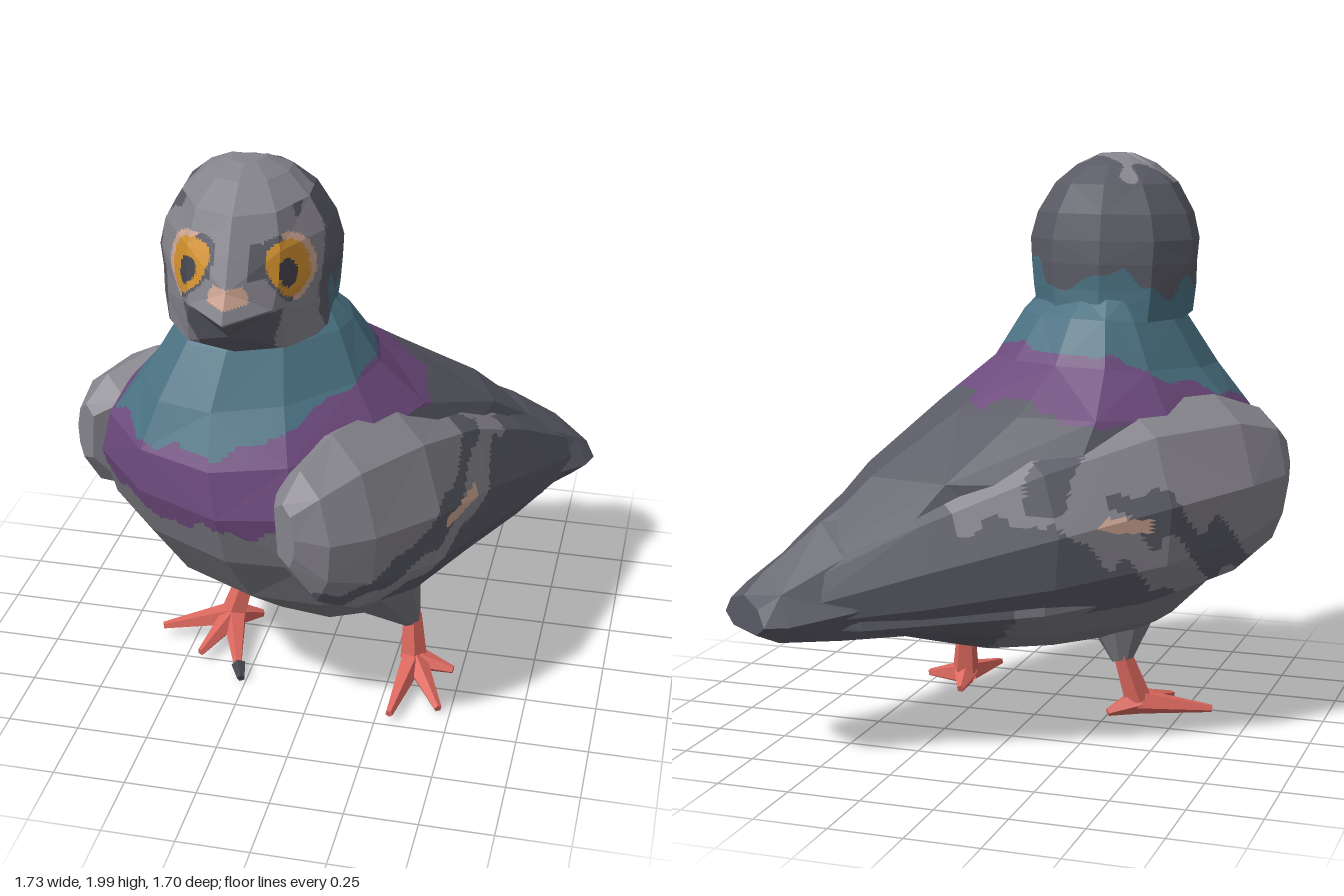
import * as THREE from 'three';

const V = (x, y, z) => new THREE.Vector3(x, y, z);
const mat = (name, color) => Object.assign(new THREE.MeshStandardMaterial({ color, flatShading: true }), { name });
const clamp = THREE.MathUtils.clamp, lerp = THREE.MathUtils.lerp;

// palette indices
const LIGHT = 0, DARK = 1, BELLY = 2, TEAL = 3, PURPLE = 4, ORANGE = 5, PINK = 6, RED = 7, BLACK = 8;

// soft wobble that makes feather-colour borders irregular
const wob = p => 0.022 * Math.sin(19 * p.x + 9 * p.y + 1) + 0.016 * Math.sin(31 * p.z + 17 * p.y)
  + 0.01 * Math.sin(47 * p.x - 29 * p.z);

// Joins rings into a closed faceted skin; each facet is split n x n and coloured by rule(centre)
function skin(name, rings, mats, rule, n = 1) {
  const tris = [], k = rings[0].length;
  for (let i = 0; i + 1 < rings.length; i++) for (let j = 0; j < k; j++) {
    const a = rings[i][j], b = rings[i][(j + 1) % k], c = rings[i + 1][(j + 1) % k], d = rings[i + 1][j];
    if ((i + j) % 2) tris.push([a, b, c], [a, c, d]); else tris.push([a, b, d], [b, c, d]);
  }
  [rings[0], rings[rings.length - 1]].forEach((r, e) => {
    const m = r.reduce((s, p) => s.add(p), V(0, 0, 0)).divideScalar(k);
    for (let j = 0; j < k; j++) {
      const a = r[j], b = r[(j + 1) % k];
      tris.push(e ? [a, b, m] : [b, a, m]);
    }
  });
  const volume = tris.reduce((s, [a, b, c]) => s + a.dot(b.clone().cross(c)), 0);
  const buckets = mats.map(() => []);
  for (const t of tris) {
    const [a, b, c] = volume < 0 ? [t[0], t[2], t[1]] : t;
    const at = (i, j) => a.clone().addScaledVector(b.clone().sub(a), i / n).addScaledVector(c.clone().sub(a), j / n);
    const put = (...ps) => {
      const mid = ps[0].clone().add(ps[1]).add(ps[2]).divideScalar(3);
      for (const p of ps) buckets[rule(mid)].push(p.x, p.y, p.z);
    };
    for (let i = 0; i < n; i++) for (let j = 0; j < n - i; j++) {
      put(at(i, j), at(i + 1, j), at(i, j + 1));
      if (i + j < n - 1) put(at(i + 1, j), at(i + 1, j + 1), at(i, j + 1));
    }
  }
  const geo = new THREE.BufferGeometry(), used = [];
  let start = 0;
  buckets.forEach((b, i) => {
    if (!b.length) return;
    geo.addGroup(start, b.length / 3, used.length);
    used.push(mats[i]);
    start += b.length / 3;
  });
  geo.setAttribute('position', new THREE.Float32BufferAttribute(buckets.flat(), 3));
  geo.computeVertexNormals();
  const mesh = new THREE.Mesh(geo, used);
  mesh.name = name;
  return mesh;
}

// Tilted slice: front and back depth/height, half width, squareness front and back
function slice(k, mid, [fz, fy, bz, by, hw, nf = 2, nb = 2]) {
  return Array.from({ length: k }, (_, j) => {
    const a = j / k * Math.PI * 2, s = Math.sin(a), c = Math.cos(a);
    const e = 2 / (c > 0 ? nf : nb);
    const z = mid + (c > 0 ? fz - mid : bz - mid) * Math.abs(c) ** e;
    return V(Math.sign(s) * Math.abs(s) ** e * hw, lerp(by, fy, (z - bz) / (fz - bz)), z);
  });
}

// Tapered limb between two points
function limb(name, a, b, ra, rb, material, sides = 5) {
  const mesh = new THREE.Mesh(new THREE.CylinderGeometry(rb, ra, a.distanceTo(b), sides), material);
  mesh.position.copy(a).lerp(b, 0.5);
  mesh.quaternion.setFromUnitVectors(V(0, 1, 0), b.clone().sub(a).normalize());
  mesh.name = name;
  return mesh;
}

export function createModel() {
  const mats = [
    mat('light grey feathers', 0x85838b), mat('dark grey feathers', 0x5a5a65), mat('belly grey', 0x76757c),
    mat('teal neck', 0x4a7182), mat('purple breast', 0x6d4a7d), mat('orange eye', 0xd0902f),
    mat('pale pink', 0xcda593), mat('red legs', 0xdc685e), mat('pupil and claw', 0x45454e)];
  const model = new THREE.Group();
  model.name = 'pigeon';

  // trunk, wings and tail sit at an angle to the head
  const trunk = new THREE.Group();
  trunk.name = 'trunk';
  trunk.rotation.y = -0.6435;
  model.add(trunk);
  const bend = p => { p.x += 0.14 * clamp((-p.z - 0.2) / 0.85, 0, 1); return p; };

  // torso from belly to neck
  const torso = [
    [0.25, 0.32, -0.33, 0.32, 0.22], [0.45, 0.42, -0.62, 0.4, 0.42, 2, 1.8], [0.66, 0.58, -0.98, 0.45, 0.53, 2.1, 1.5],
    [0.79, 0.78, -1.02, 0.58, 0.54, 2.4, 1.4], [0.84, 0.95, -0.62, 0.94, 0.54, 2.5, 1.8],
    [0.83, 1.1, -0.3, 1.15, 0.48, 2.4], [0.75, 1.25, -0.08, 1.3, 0.365], [0.63, 1.42, 0.03, 1.45, 0.28],
    [0.54, 1.5, 0.12, 1.52, 0.22]];
  trunk.add(skin('torso', torso.map(r => slice(12, 0.22, r).map(bend)), mats, p => {
    const w = wob(p);
    if (p.y > 1.13 + 0.26 * (0.8 - p.z) + w * 0.6) return TEAL;
    if (p.y > 0.85 + 0.31 * (0.84 - p.z) + w) return PURPLE;
    return p.z < -0.3 + w || (p.y > 0.9 && p.z < 0.2) ? DARK : BELLY;
  }, 12));

  // wings: [depth, inner x, outer x, bottom, top]; the right shoulder is held further forward
  const wing = [
    [0.64, 0.45, 0.55, 0.82, 1.04], [0.56, 0.38, 0.63, 0.68, 1.13], [0.4, 0.3, 0.67, 0.59, 1.19],
    [0.1, 0.2, 0.655, 0.52, 1.18], [-0.25, 0.1, 0.53, 0.48, 1.06], [-0.6, 0.03, 0.35, 0.45, 0.87],
    [-0.93, 0, 0.17, 0.45, 0.65]];
  const section = [[0, 0.86], [0.42, 1], [0.8, 0.86], [1, 0.52], [0.95, 0.22], [0.74, 0], [0.15, 0.1]];
  const wingColour = p => {
    const w = wob(p), q = p.y + 0.5 * p.z + w * 1.6, side = Math.abs(p.x);
    const patch = (x, z, rx, rz) => Math.hypot((p.x - x - 0.35 * (p.z - z)) / rx, (p.z - z) / rz) < 1 + w * 6;
    // pink fleck, then pale bands and patches on dark flight feathers
    if (side > 0.55 && Math.abs(p.y - 0.81 + 0.1 * p.z) < 0.024 && Math.abs(p.z + 0.05) < 0.1) return PINK;
    if (p.x < 0 && p.y > 0.85 && patch(-0.4, -0.2, 0.07, 0.13)) return DARK;
    if (p.x < 0 && p.z > -0.5 && side > 0.15 && p.y > 0.93 + 0.3 * p.z + w) return LIGHT;
    if (p.x > 0 && p.y > 0.85 && patch(0.31, -0.33, 0.07, 0.22)) return LIGHT;
    if (p.z < -0.47 + w * 4 || p.y < 0.53 + w) return DARK;
    if (q > 0.95) return p.z < 0.15 && side < 0.3 + w * 2 ? DARK : LIGHT;
    return q > 0.66 && q < 0.82 ? LIGHT : DARK;
  };
  for (const s of [1, -1]) {
    const rings = wing.map(([z, a, b, y0, y1]) => section.map(([u, h]) =>
      bend(V(s * lerp(a, b, u) + (s < 0 ? 0.02 : 0), lerp(y0, y1, h), s < 0 && z > 0 ? z * 1.13 : z))));
    trunk.add(skin(s > 0 ? 'leftWing' : 'rightWing', rings, mats, wingColour, 15));
  }

  // tail: [depth, half width, bottom, top]
  const tail = [[-0.45, 0.27, 0.41, 1.01], [-0.8, 0.22, 0.42, 0.8], [-1.0, 0.17, 0.43, 0.65], [-1.07, 0.14, 0.46, 0.58]];
  trunk.add(skin('tail', tail.map(([z, hw, y0, y1]) =>
    [[-1, 0.3], [-0.7, 0.75], [0, 1], [0.7, 0.75], [1, 0.3], [0.6, 0], [-0.6, 0]]
      .map(([u, h]) => bend(V(u * hw, lerp(y0, y1, h), z)))), mats, () => DARK));

  // head with the beak as its pointed front
  const head = [
    [0.59, 1.45, 0.0, 1.43, 0.275], [0.67, 1.54, 0.01, 1.54, 0.292, 1.6], [0.765, 1.62, 0.01, 1.63, 0.3, 1.3],
    [0.7, 1.7, 0.02, 1.71, 0.305, 1.45], [0.645, 1.79, 0.04, 1.8, 0.28, 1.65], [0.57, 1.9, 0.08, 1.9, 0.215],
    [0.46, 1.97, 0.17, 1.96, 0.14], [0.37, 2.0, 0.28, 2.0, 0.06]];
  const headMesh = skin('head', head.map(r => slice(10, 0.27, r)), mats, p => {
    const w = wob(p), side = Math.abs(p.x), turn = p.x < 0 ? 0.025 : 0;
    const eye = (cz, cy, rz, ry) => p.z > 0.35 && side > 0.05
      && Math.hypot((p.z - cz - turn) / rz, (p.y - cy) / ry) < 1;
    if (eye(0.548, 1.715, 0.036, 0.047)) return BLACK;
    if (eye(0.53, 1.725, 0.075, 0.093)) return ORANGE;
    if (eye(0.52, 1.725, 0.092, 0.112)) return p.z < 0.53 + turn ? PINK : DARK;
    if (p.z > 0.66 && p.y > 1.655 && p.y < 1.71 && side < 0.065) return PINK;
    if (p.z < 0.37 && p.y < 1.57 + w * 1.6) return TEAL;
    if (p.y < 1.61 && p.z > 0.4 && side < 0.15 + w) return DARK;
    if (p.z > 0.58 + w && p.y > 1.72 && side > 0.06 && p.y < 1.82) return DARK;
    if (p.y > 1.9) return p.z > 0.22 + w * 3 ? LIGHT : DARK;
    return p.z > 0.38 + w * 1.5 ? LIGHT : DARK;
  }, 15);
  headMesh.position.x = -0.23;
  headMesh.rotation.y = 0.06;
  model.add(headMesh);

  // thighs, shanks and toes
  const legs = [
    { name: 'left', hip: V(0.1, 0.66, 0.29), knee: V(0.32, 0.23, 0.16), ankle: V(0.33, 0.09, 0.18),
      toes: [V(0.46, 0.03, 0.4), V(0.48, 0.06, 0.2), V(0.3, 0.04, 0.48), V(0.31, 0.05, 0.07)] },
    { name: 'right', hip: V(-0.26, 0.64, 0.16), knee: V(-0.32, 0.23, 0.02), ankle: V(-0.37, 0.09, 0.05),
      toes: [V(-0.62, 0.05, 0.14), V(-0.29, 0.035, 0.31), V(-0.44, 0.045, 0.27), V(-0.28, 0.05, -0.02)] }];
  for (const { name, hip, knee, ankle, toes } of legs) {
    const leg = new THREE.Group();
    leg.name = name + 'Leg';
    leg.add(limb('thigh', hip, knee, 0.29, 0.035, mats[BELLY], 8));
    leg.add(limb('shank', knee.clone().setY(0.26), ankle, 0.034, 0.05, mats[RED]));
    toes.forEach(t => leg.add(limb('toe', ankle.clone().setY(0.08), t, 0.048, 0.014, mats[RED])));
    model.add(leg);
  }
  // dark claw on the right foot
  model.add(limb('claw', V(-0.29, 0.035, 0.3), V(-0.265, 0.02, 0.36), 0.026, 0.015, mats[BLACK]));
  return model;
}
